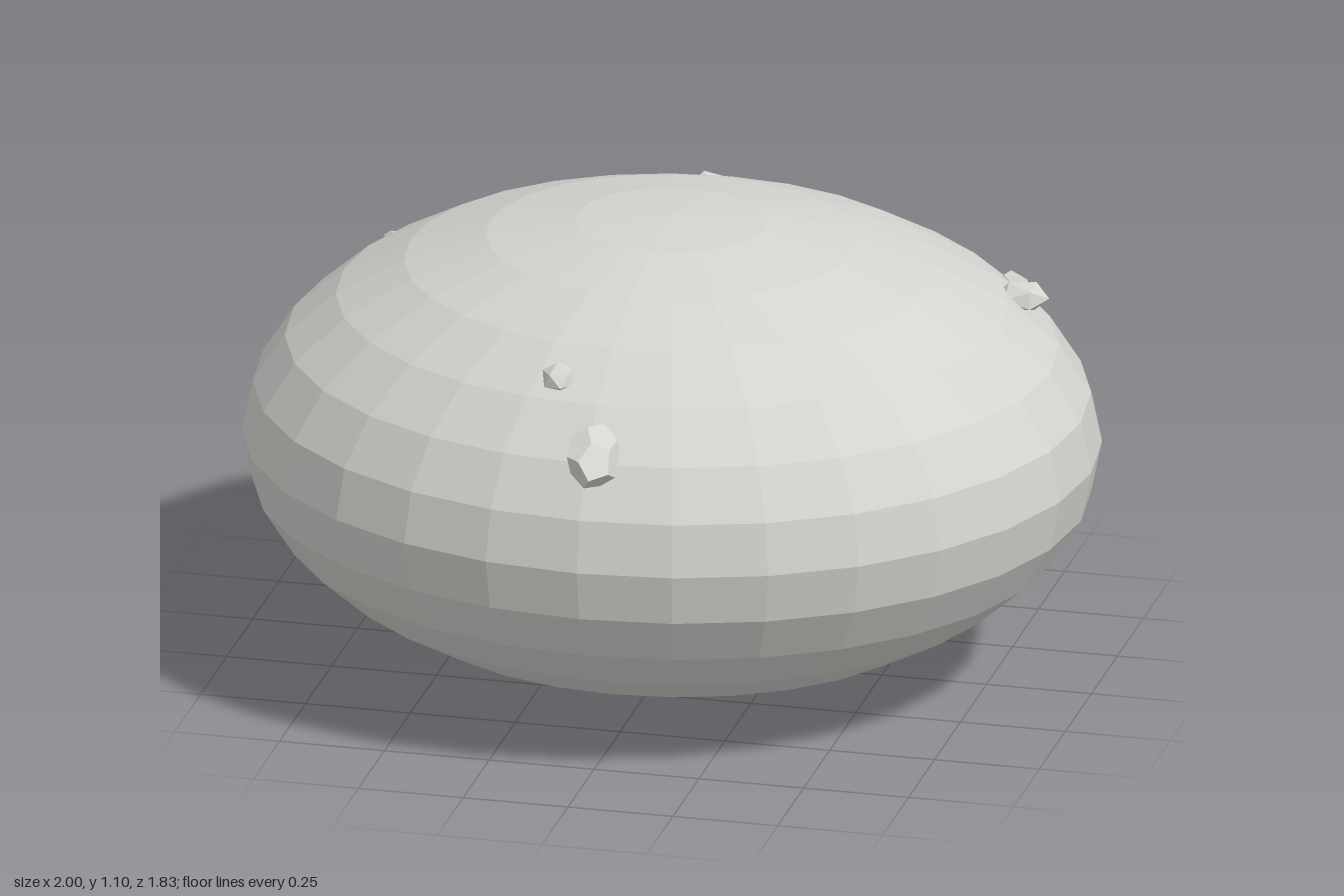
import * as THREE from 'three';

export function createModel() {
  const group = new THREE.Group();
  group.name = 'boulder';

  const stone = new THREE.MeshStandardMaterial({ color: 0xd5d3cf });
  stone.name = 'pale warm grey stone';
  stone.flatShading = true;

  // Main body: a faceted, squashed ellipsoid
  const body = new THREE.Mesh(new THREE.SphereGeometry(1, 28, 14), stone);
  body.name = 'body';
  body.scale.set(1, 0.548, 0.917);
  body.position.y = 0.55;
  group.add(body);

  // Small angular chips half sunk into the upper surface
  function addChip(name, geometry, position, size, rotation) {
    const chip = new THREE.Mesh(geometry, stone);
    chip.name = name;
    chip.position.set(...position);
    chip.scale.set(...size);
    chip.rotation.set(...rotation);
    group.add(chip);
  }

  // Icosahedron turned so that one corner points along +z
  const pointed = new THREE.IcosahedronGeometry(1, 0);
  pointed.rotateX(Math.atan2(1, (1 + Math.sqrt(5)) / 2));
  const blunt = new THREE.DodecahedronGeometry(1, 0);

  addChip('frontChip', blunt, [0.02, 0.81, 0.83], [0.066, 0.042, 0.094], [0.5, 0, -0.5]);
  addChip('upperFrontChip', pointed, [-0.11, 0.925, 0.645], [0.042, 0.03, 0.052], [0.2, 0.3, 0]);
  addChip('leftChip', pointed, [0.77, 0.87, -0.257], [0.054, 0.036, 0.066], [0, Math.PI / 2, 0.1]);
  addChip('smallLeftChip', pointed, [0.705, 0.825, -0.445], [0.03, 0.03, 0.045], [0.4, 1.2, 0.3]);
  addChip('backChip', pointed, [-0.095, 0.845, -0.785], [0.074, 0.044, 0.088], [0.12, Math.PI, 0.2]);
  addChip('rightChip', pointed, [-0.73, 0.88, -0.25], [0.027, 0.017, 0.016], [0, -0.4, 0.5]);

  return group;
}
